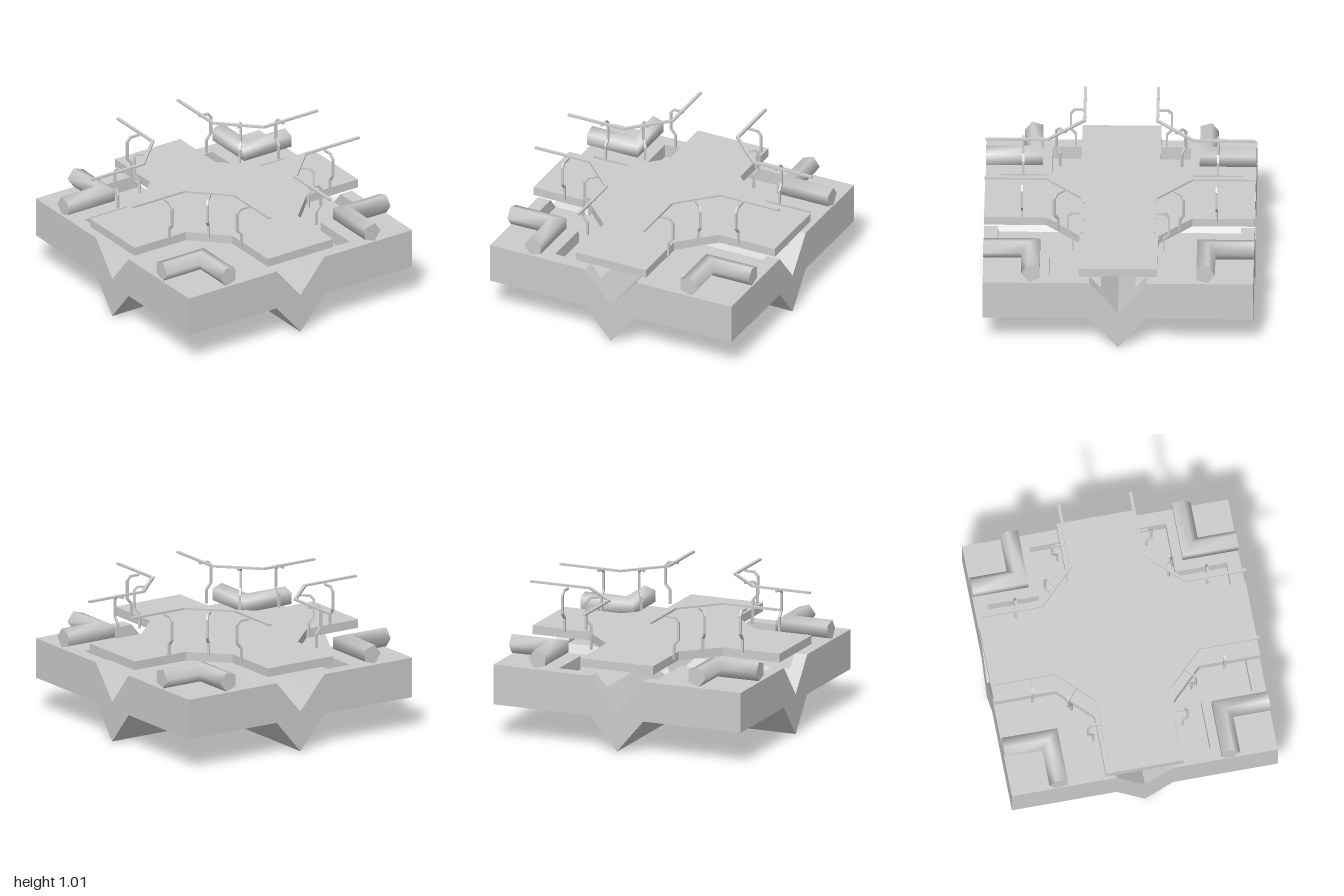
import * as THREE from 'three';

const mat = new THREE.MeshStandardMaterial({ color: 0xcccccc, side: THREE.DoubleSide });

function part(name, geo, parent) {
  const mesh = new THREE.Mesh(geo, mat);
  mesh.name = name;
  parent.add(mesh);
  return mesh;
}

function fromTriangles(tris) {
  const geo = new THREE.BufferGeometry();
  geo.setAttribute('position', new THREE.Float32BufferAttribute(tris.flat(), 3));
  geo.computeVertexNormals();
  return geo;
}

// Flat strip of constant width along a 2D path, mitred at the bends
function ribbon(path, width, depth) {
  const pts = path.map(p => new THREE.Vector2(...p));
  const left = [], right = [];
  pts.forEach((p, i) => {
    const a = p.clone().sub(pts[i - 1] ?? p).normalize();
    const b = (pts[i + 1] ?? p).clone().sub(p).normalize();
    const t = a.clone().add(b).normalize();
    const ref = i ? a : b;
    const n = new THREE.Vector2(-t.y, t.x).multiplyScalar(width / 2 / t.dot(ref));
    left.push(p.clone().add(n));
    right.unshift(p.clone().sub(n));
  });
  const shape = new THREE.Shape([...left, ...right]);
  return new THREE.ExtrudeGeometry(shape, { depth, bevelEnabled: false }).translate(0, 0, -depth / 2);
}

// Square slab with two crossing V channels, matching keels and a cross-shaped recess
function baseGeometry() {
  const half = 0.987, vee = 0.21;
  const positive = [0.126, vee, 0.505, 0.506, 0.885, 0.886, half];
  const lines = [...positive.map(v => -v).reverse(), 0, ...positive];
  const top = (x, z) => {
    const near = Math.min(Math.abs(x), Math.abs(z)), far = Math.max(Math.abs(x), Math.abs(z));
    const y = Math.min(0.55, 0.3 + near * 0.25 / vee);
    return near < 0.5055 && far < 0.8855 ? Math.min(y, 0.45) : y;
  };
  const bottom = (x, z) => Math.min(0.25, Math.min(Math.abs(x), Math.abs(z)) * 0.25 / vee);
  const tris = [];
  const quad = (a, b, c, d) => tris.push(...a, ...b, ...c, ...a, ...c, ...d);
  for (let i = 0; i < lines.length - 1; i++) {
    const x0 = lines[i], x1 = lines[i + 1];
    for (let j = 0; j < lines.length - 1; j++) {
      const z0 = lines[j], z1 = lines[j + 1];
      for (const f of [top, bottom]) {
        const c = [[x0, z0], [x0, z1], [x1, z1], [x1, z0]].map(([x, z]) => [x, f(x, z), z]);
        // split each cell along the diagonal crease
        if ((x0 + x1) * (z0 + z1) < 0) c.push(c.shift());
        if (f === bottom) c.reverse();
        // reversing moves the diagonal, so bring it back
        if (f === bottom) c.push(c.shift());
        quad(...(f === bottom ? [c[2], c[3], c[0], c[1]] : c));
      }
    }
    // outer walls on all four sides
    for (let k = 0; k < 4; k++) {
      const turn = (x, f) => {
        const c = [1, 0, -1, 0][k], s = [0, 1, 0, -1][k];
        return [x * c + half * s, f(x, half), half * c - x * s];
      };
      quad(turn(x0, bottom), turn(x1, bottom), turn(x1, top), turn(x0, top));
    }
  }
  return fromTriangles(tris);
}

// Cross-shaped deck with chamfered inner corners
function deckGeometry() {
  const pts = [];
  for (let k = 0; k < 4; k++) {
    for (const p of [[0.987, 0.288], [0.533, 0.288], [0.288, 0.533], [0.288, 0.987]]) {
      pts.push(new THREE.Vector2(...p).rotateAround(new THREE.Vector2(), k * Math.PI / 2));
    }
  }
  return new THREE.ExtrudeGeometry(new THREE.Shape(pts), { depth: 0.065, bevelEnabled: false })
    .rotateX(Math.PI / 2).translate(0, 0.675, 0);
}

// Five-sided elbow pipe: sections at one end, the mitre and the other end
function addPipe(parent) {
  const c = 0.633, r = 0.075, end = 0.987, y = 0.63;
  const ring = fn => Array.from({ length: 5 }, (_, i) => {
    const a = i * Math.PI * 2 / 5;
    return fn(c + r * Math.cos(a), y + r * Math.sin(a));
  });
  const rings = [
    ring((d, h) => [end, h, d]),
    ring((d, h) => [d, h, d]),
    ring((d, h) => [d, h, end]),
  ];
  const index = [];
  for (let s = 0; s < 2; s++) {
    for (let i = 0; i < 5; i++) {
      const a = s * 5 + i, b = s * 5 + (i + 1) % 5;
      index.push(a, b, a + 5, b, b + 5, a + 5);
    }
  }
  const geo = new THREE.BufferGeometry();
  geo.setAttribute('position', new THREE.Float32BufferAttribute(rings.flat(2), 3));
  geo.setIndex(index);
  geo.computeVertexNormals();
  part('pipeElbow', geo, parent);

  const caps = [];
  for (let i = 1; i < 4; i++) {
    const [a, , b] = rings;
    caps.push(...a[0], ...a[i + 1], ...a[i], ...b[0], ...b[i], ...b[i + 1]);
  }
  part('pipeEnds', fromTriangles(caps), parent);
}

export function createModel() {
  const model = new THREE.Group();
  model.name = 'crossroadPlatform';
  const body = new THREE.Group();
  body.name = 'platform';
  body.position.x = -0.012;
  model.add(body);

  part('base', baseGeometry(), body);
  part('deck', deckGeometry(), body);

  const postProfile = [[0, 0.98], [0.075, 0.98], [0.103, 0.95], [0.103, 0.815], [0.065, 0.77], [0.065, 0.665]];
  const railEnds = [1.012, 0.985, 0.985, 0.985];

  // Each corner: a bent handrail on three posts, and an elbow pipe
  for (let k = 0; k < 4; k++) {
    const corner = new THREE.Group();
    corner.name = 'corner' + (k + 1);
    corner.rotation.y = k * Math.PI / 2;
    body.add(corner);

    const path = [[railEnds[k], 0.266], [0.532, 0.266], [0.266, 0.532], [0.266, railEnds[(k + 3) % 4]]];
    part('handrail', ribbon(path, 0.022, 0.015).rotateX(Math.PI / 2).translate(0, 1, 0), corner);

    [[0.266, 0.71, 0], [0.399, 0.399, 1], [0.71, 0.266, 2]].forEach(([x, z, turn]) => {
      const post = part('railPost', ribbon(postProfile, 0.016, 0.016), corner);
      post.position.set(x, 0, z);
      post.rotation.y = -turn * Math.PI / 4;
    });
    addPipe(corner);
  }
  return model;
}
